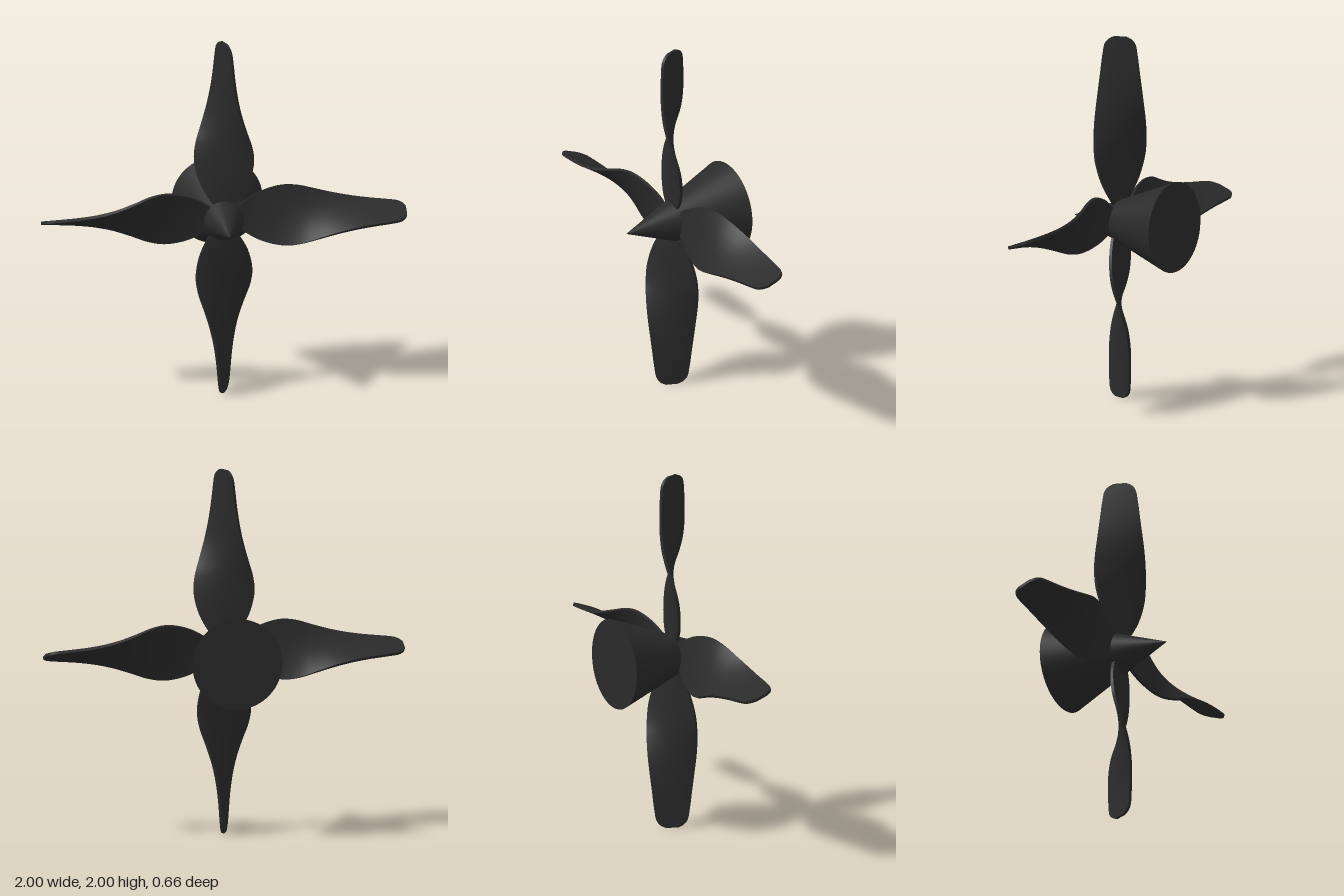
import * as THREE from 'three';
import { mergeGeometries } from 'three/addons/utils/BufferGeometryUtils.js';
import { ParametricGeometry } from 'three/addons/geometries/ParametricGeometry.js';

// Blade stations: half chord in the disc plane, half chord fore and aft, radius
const STATIONS = [
  [0.030, 0.002, 0.04], [0.078, 0.006, 0.10], [0.132, 0.028, 0.20], [0.158, 0.052, 0.32],
  [0.147, 0.070, 0.41], [0.117, 0.090, 0.50], [0.085, 0.103, 0.60], [0.062, 0.104, 0.70],
  [0.047, 0.098, 0.80], [0.037, 0.089, 0.90], [0.030, 0.079, 0.96], [0.022, 0.060, 0.985],
  [0.012, 0.032, 1.0],
];
const HALF_THICKNESS = 0.008;

// Twisted thin blade running along +x
function bladeGeometry() {
  const curve = new THREE.CatmullRomCurve3(STATIONS.map((p) => new THREE.Vector3(...p)));
  const station = new THREE.Vector3();
  // u runs root to tip, s across the chord (-1..1), k back to front (-1..1)
  const point = (u, s, k, target) => {
    curve.getPoint(u, station);
    const { x: a, y: b, z: r } = station;
    const t = (k * HALF_THICKNESS) / Math.hypot(a, b);
    target.set(r, s * a + t * b, -s * b + t * a);
  };
  const span = (v) => 2 * v - 1;
  const n = 60;
  return mergeGeometries([
    new ParametricGeometry((u, v, p) => point(u, span(v), 1, p), n, 8), // front face
    new ParametricGeometry((u, v, p) => point(u, -span(v), -1, p), n, 8), // back face
    new ParametricGeometry((u, v, p) => point(u, 1, -span(v), p), n, 1), // upper edge
    new ParametricGeometry((u, v, p) => point(u, -1, span(v), p), n, 1), // lower edge
    new ParametricGeometry((u, v, p) => point(1, span(u), span(v), p), 4, 1), // tip
  ]);
}

export function createModel() {
  const model = new THREE.Group();
  model.name = 'propeller';
  const black = new THREE.MeshStandardMaterial({ color: 0x2a2a2a });
  black.name = 'matte black';

  // Conical hub with its point to the front
  const hub = new THREE.Mesh(new THREE.ConeGeometry(0.25, 0.66, 64).rotateX(Math.PI / 2), black);
  hub.name = 'hubCone';
  hub.position.set(0, 0.98, 0);
  model.add(hub);

  // Four blades around the shaft
  const blades = new THREE.Group();
  blades.name = 'blades';
  blades.position.set(0, 1, 0.03);
  const geometry = bladeGeometry();
  ['leftBlade', 'topBlade', 'rightBlade', 'bottomBlade'].forEach((name, i) => {
    const blade = new THREE.Mesh(geometry, black);
    blade.name = name;
    blade.rotation.z = (i * Math.PI) / 2;
    blades.add(blade);
  });
  model.add(blades);
  return model;
}
